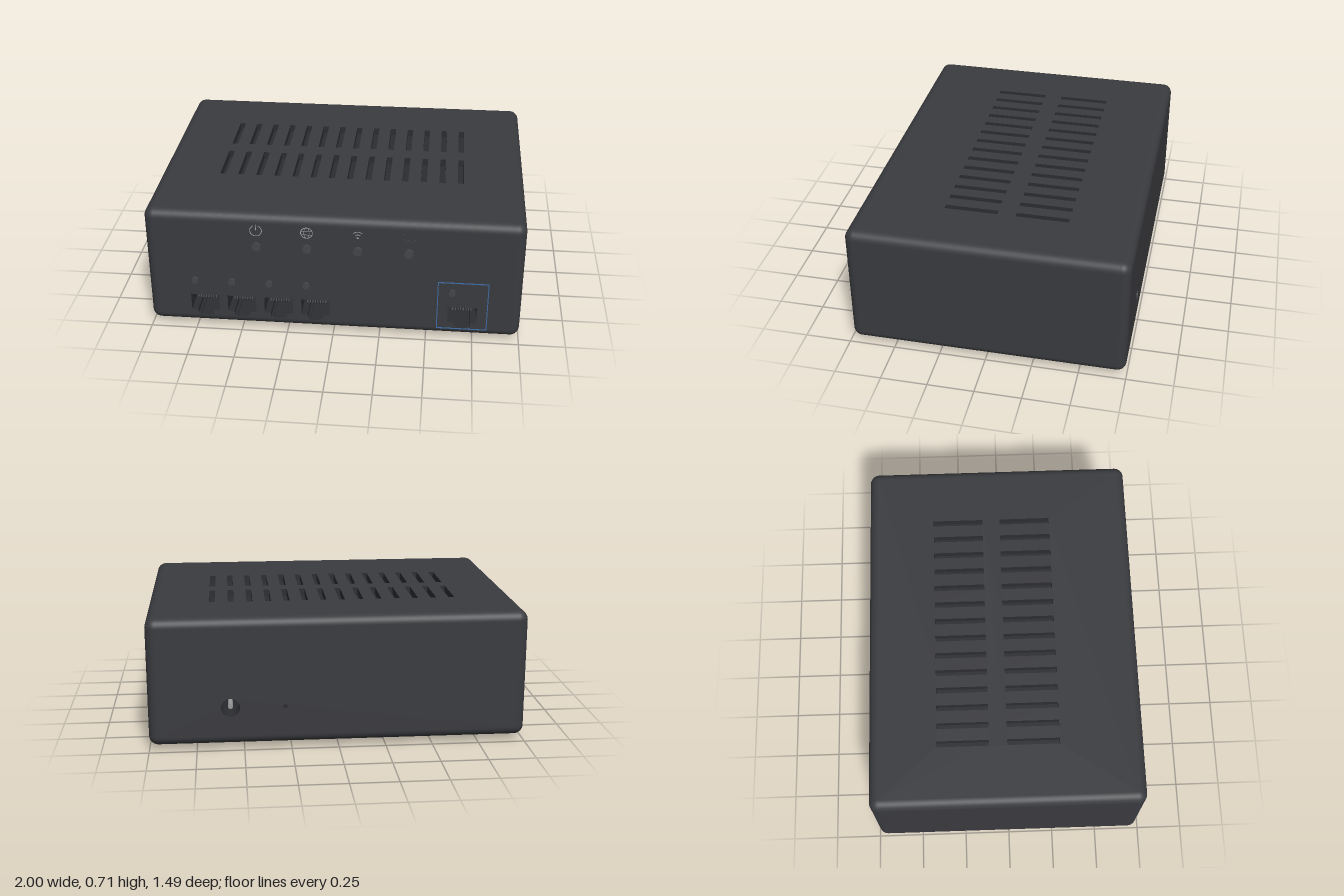
import * as THREE from 'three';
import { RoundedBoxGeometry } from 'three/addons/geometries/RoundedBoxGeometry.js';
import { mergeGeometries } from 'three/addons/utils/BufferGeometryUtils.js';

const mat = (color, side = THREE.FrontSide) => new THREE.MeshStandardMaterial({ color, side });
const CASE = mat(0x3a3b3f), INNER = mat(0x2c2d31, THREE.DoubleSide), DARK = mat(0x1f1f21);
const LED = mat(0x45464a), PRINT = mat(0xa8a8ac), BLUE = mat(0x3f6da8), METAL = mat(0x9a9a9a);

// Case limits and edge radius
const Y0 = 0.03, Y1 = 0.715, ZB = -0.745, ZF = 0.735, R = 0.05;

function add(parent, name, geometry, material, x = 0, y = 0, z = 0) {
  const mesh = new THREE.Mesh(geometry, material);
  mesh.name = name;
  mesh.position.set(x, y, z);
  parent.add(mesh);
  return mesh;
}

const v = (x, y) => new THREE.Vector2(x, y);
const rect = (x0, y0, x1, y1) => [v(x0, y0), v(x1, y0), v(x1, y1), v(x0, y1)];
const circle = (x, y, r, n = 32) => Array.from({ length: n }, (_, i) =>
  v(x + r * Math.cos(i / n * 2 * Math.PI), y + r * Math.sin(i / n * 2 * Math.PI)));

// Stepped network socket outline, counter-clockwise
function socketOutline(cx) {
  const half = [[0.028, 0.08], [0.028, 0.088], [0.043, 0.088], [0.043, 0.113], [0.077, 0.113], [0.077, 0.209]];
  return [...half.map(([x, y]) => v(cx + x, y)), ...half.reverse().map(([x, y]) => v(cx - x, y))];
}

// Recess behind an outline: inward-facing walls and a floor
function pocket(points, depth) {
  const pos = [];
  points.forEach((p, i) => {
    const q = points[(i + 1) % points.length];
    pos.push(p.x, p.y, 0, q.x, q.y, 0, q.x, q.y, -depth, p.x, p.y, 0, q.x, q.y, -depth, p.x, p.y, -depth);
  });
  const walls = new THREE.BufferGeometry();
  walls.setAttribute('position', new THREE.Float32BufferAttribute(pos, 3));
  walls.computeVertexNormals();
  const floor = new THREE.ShapeGeometry(new THREE.Shape(points)).toNonIndexed().translate(0, 0, -depth);
  floor.deleteAttribute('uv');
  return mergeGeometries([walls, floor]);
}

// Flat panel facing local +z, pierced by recesses
function panel(name, outline, recesses) {
  const group = new THREE.Group();
  group.name = name;
  const shape = new THREE.Shape(outline);
  for (const r of recesses) {
    shape.holes.push(new THREE.Path(r.points));
    add(group, r.name, pocket(r.points, r.depth), r.material || INNER);
  }
  add(group, name + 'Face', new THREE.ShapeGeometry(shape), CASE);
  return group;
}

// Rounded case with its front, back and top flats left open for the panels
function shellGeometry() {
  const h = Y1 - Y0, d = ZF - ZB;
  const g = new RoundedBoxGeometry(2, h, d, 5, R);
  const p = g.attributes.position, n = g.attributes.normal, pos = [], nor = [];
  for (let i = 0; i < p.count; i += 3) {
    const all = test => [i, i + 1, i + 2].every(test);
    if (all(k => p.getY(k) > h / 2 - 1e-5) || all(k => Math.abs(p.getZ(k)) > d / 2 - 1e-5)) continue;
    for (let k = i; k < i + 3; k++) {
      pos.push(p.getX(k), p.getY(k), p.getZ(k));
      nor.push(n.getX(k), n.getY(k), n.getZ(k));
    }
  }
  const out = new THREE.BufferGeometry();
  out.setAttribute('position', new THREE.Float32BufferAttribute(pos, 3));
  out.setAttribute('normal', new THREE.Float32BufferAttribute(nor, 3));
  return out.translate(0, (Y0 + Y1) / 2, (ZF + ZB) / 2);
}

// Thin printed strokes: arc of a ring, straight bar, dot
const arc = (r, start, length) => new THREE.RingGeometry(r - 0.002, r + 0.002, 32, 1, start, length);
const bar = (w, h, x = 0, y = 0) => new THREE.PlaneGeometry(w, h).translate(x, y, 0);
const dot = (r, x = 0, y = 0) => new THREE.CircleGeometry(r, 16).translate(x, y, 0);

function icons() {
  const P = Math.PI;
  return {
    powerIcon: [arc(0.031, P * 0.62, P * 1.76), bar(0.004, 0.034, 0, 0.02)],
    globeIcon: [arc(0.031, 0, 2 * P), arc(0.031, 0, 2 * P).scale(0.45, 1, 1),
      bar(0.06, 0.003, 0, 0.011), bar(0.06, 0.003, 0, -0.011)],
    wirelessIcon: [dot(0.006, 0, -0.016), arc(0.018, P * 0.25, P * 0.5).translate(0, -0.014, 0),
      arc(0.034, P * 0.25, P * 0.5).translate(0, -0.014, 0)],
    networkIcon: [dot(0.006, -0.028, 0.018), dot(0.006, 0.028, -0.012), dot(0.006, 0, -0.018),
      arc(0.03, P * 1.05, P * 0.35), arc(0.03, P * 1.6, P * 0.3)],
  };
}

function indicator(parent, name, x, y, r) {
  add(parent, name, new THREE.CylinderGeometry(r, r, 0.02, 24).rotateX(Math.PI / 2), LED, x, y, 0.004);
}

export function createModel() {
  const model = new THREE.Group();
  model.name = 'networkRouter';
  add(model, 'caseShell', shellGeometry(), CASE);

  // Front panel with network sockets
  const ports = [-0.695, -0.495, -0.295, -0.095, 0.69];
  const front = panel('frontPanel', rect(-1 + R, Y0 + R, 1 - R, Y1 - R),
    ports.map(x => ({ name: 'networkSocket', points: socketOutline(x), depth: 0.16 })));
  front.position.z = ZF;
  model.add(front);

  // Socket contacts and port lights
  ports.forEach((x, i) => {
    for (let k = 0; k < 8; k++) {
      const pin = add(front, 'socketContact', new THREE.BoxGeometry(0.006, 0.004, 0.11), LED,
        x + (k - 3.5) * 0.014, 0.18, -0.1);
      pin.rotation.x = 0.4;
    }
    indicator(front, 'portLight', i < 4 ? x - 0.048 : x - 0.058, 0.302, 0.019);
  });

  // Status lights with printed icons above
  Object.entries(icons()).forEach(([name, parts], i) => {
    const x = -0.403 + i * 0.267;
    indicator(front, 'statusLight', x, 0.53, 0.024);
    add(front, name, mergeGeometries(parts), i < 3 ? PRINT : LED, x, 0.625, 0.003);
  });

  // Blue frame around the separate socket
  const frame = new THREE.Shape(rect(0.555, 0.072, 0.825, 0.364));
  frame.holes.push(new THREE.Path(rect(0.56, 0.077, 0.82, 0.359)));
  add(front, 'socketFrame', new THREE.ExtrudeGeometry(frame, { depth: 0.003, bevelEnabled: false }), BLUE);

  // Top panel with two rows of vent slots
  const slots = [];
  for (const [z0, z1] of [[-0.378, -0.098], [0, 0.284]])
    for (let i = 0; i < 14; i++) {
      const x = -0.655 + i * 0.1008;
      slots.push({ name: 'ventSlot', points: rect(x - 0.016, -z1, x + 0.016, -z0), depth: 0.04 });
    }
  const top = panel('topPanel', rect(-1 + R, -ZF + R, 1 - R, -ZB - R), slots);
  top.rotation.x = -Math.PI / 2;
  top.position.y = Y1;
  model.add(top);

  // Back panel with power jack and reset hole
  const jackX = -0.57, holeX = -0.285, jackY = 0.235;
  const back = panel('backPanel', rect(-1 + R, Y0 + R, 1 - R, Y1 - R), [
    { name: 'powerJack', points: circle(jackX, jackY, 0.05), depth: 0.12 },
    { name: 'resetHole', points: circle(holeX, jackY, 0.012, 16), depth: 0.05 },
  ]);
  add(back, 'jackPin', new THREE.CylinderGeometry(0.013, 0.013, 0.1, 16).rotateX(Math.PI / 2),
    METAL, jackX, jackY, -0.07);
  back.rotation.y = Math.PI;
  back.position.z = ZB;
  model.add(back);

  // Round feet
  for (const x of [-0.755, 0.755])
    for (const z of [-0.535, 0.525])
      add(model, 'foot', new THREE.CylinderGeometry(0.076, 0.076, 0.04, 40), DARK, x, 0.02, z);

  return model;
}
